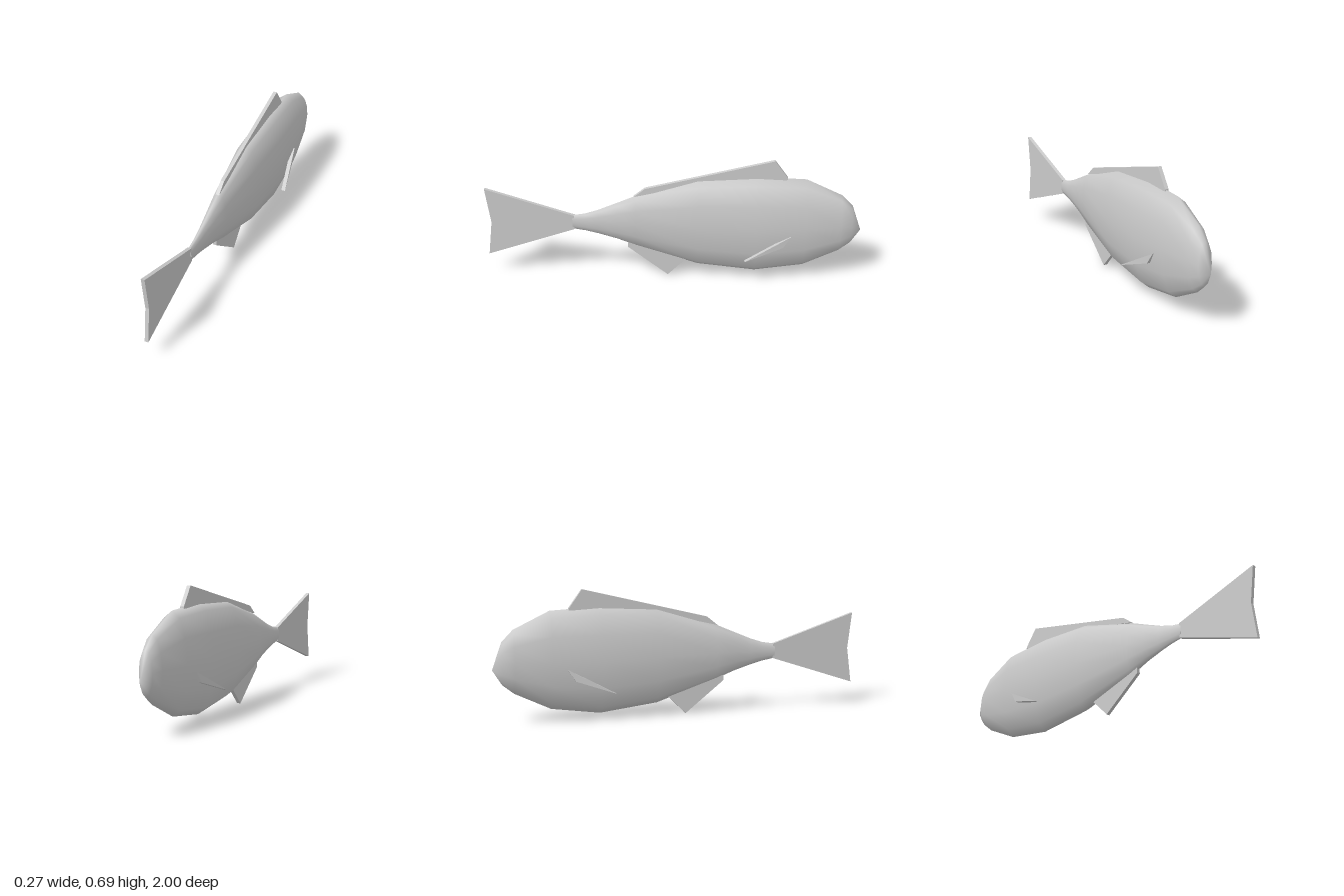
import * as THREE from 'three';

const SIDES = 12;
const WIDTH_RATIO = 1 / 3;

// body cross-sections: z, top y, bottom y
const STATIONS = [
  [-0.95, 0.428, 0.206], [-0.89, 0.49, 0.158], [-0.7, 0.581, 0.067],
  [-0.44, 0.594, 0.03], [-0.13, 0.576, 0.067], [0.2, 0.475, 0.175],
  [0.3, 0.432, 0.215], [0.4, 0.39, 0.246], [0.47, 0.367, 0.264], [0.54, 0.356, 0.276],
];

// tapering oval body closed by a pointed nose
function bodyGeometry() {
  const pos = [0, 0.285, -1];
  const index = [];
  STATIONS.forEach(([z, top, bottom], r) => {
    const ry = (top - bottom) / 2;
    for (let i = 0; i < SIDES; i++) {
      const a = (i / SIDES) * Math.PI * 2;
      pos.push(Math.sin(a) * ry * WIDTH_RATIO, (top + bottom) / 2 + Math.cos(a) * ry, z);
      const j = (i + 1) % SIDES;
      const p = 1 + r * SIDES + i, q = 1 + r * SIDES + j;
      if (r === 0) index.push(0, p, q);
      else index.push(p - SIDES, p, q - SIDES, q - SIDES, p, q);
    }
  });
  const g = new THREE.BufferGeometry();
  g.setAttribute('position', new THREE.Float32BufferAttribute(pos, 3));
  g.setIndex(index);
  g.computeVertexNormals();
  return g;
}

// flat plate from a (z, y) outline, centred on x = 0
function finGeometry(outline, thickness) {
  const shape = new THREE.Shape(outline.map(([z, y]) => new THREE.Vector2(z, y)));
  const g = new THREE.ExtrudeGeometry(shape, { depth: thickness, bevelEnabled: false });
  g.rotateY(-Math.PI / 2);
  g.translate(thickness / 2, 0, 0);
  return g;
}

export function createModel() {
  const model = new THREE.Group();
  const grey = new THREE.MeshStandardMaterial({ color: 0xcccccc });
  grey.name = 'grey';

  const add = (name, geometry) => {
    const mesh = new THREE.Mesh(geometry, grey);
    mesh.name = name;
    model.add(mesh);
    return mesh;
  };

  add('body', bodyGeometry());

  // end of the tail stalk
  const cap = add('tailStalkEnd', new THREE.CircleGeometry(0.04, SIDES));
  cap.scale.x = WIDTH_RATIO;
  cap.position.set(0, 0.316, 0.54);

  // fins on the centre line
  add('tailFin', finGeometry([[0.53, 0.276], [1, 0.12], [0.975, 0.313], [1, 0.51], [0.53, 0.356]], 0.02));
  add('dorsalFin', finGeometry([[-0.6, 0.58], [-0.6, 0.59], [-0.53, 0.687], [0.15, 0.52], [0.21, 0.472], [-0.13, 0.55]], 0.02));
  add('analFin', finGeometry([[-0.08, 0.11], [0.03, 0], [0.245, 0.17], [0.245, 0.2]], 0.02));

  // side fins, sheared outwards towards the tail
  for (const side of [1, -1]) {
    const g = finGeometry([[-0.625, 0.283], [-0.585, 0.222], [-0.38, 0.154]], 0.022);
    const p = g.attributes.position;
    for (let i = 0; i < p.count; i++) {
      p.setX(i, p.getX(i) + side * (0.079 + (p.getZ(i) + 0.625) * 0.19));
    }
    g.computeVertexNormals();
    add(side > 0 ? 'leftPectoralFin' : 'rightPectoralFin', g);
  }

  return model;
}
